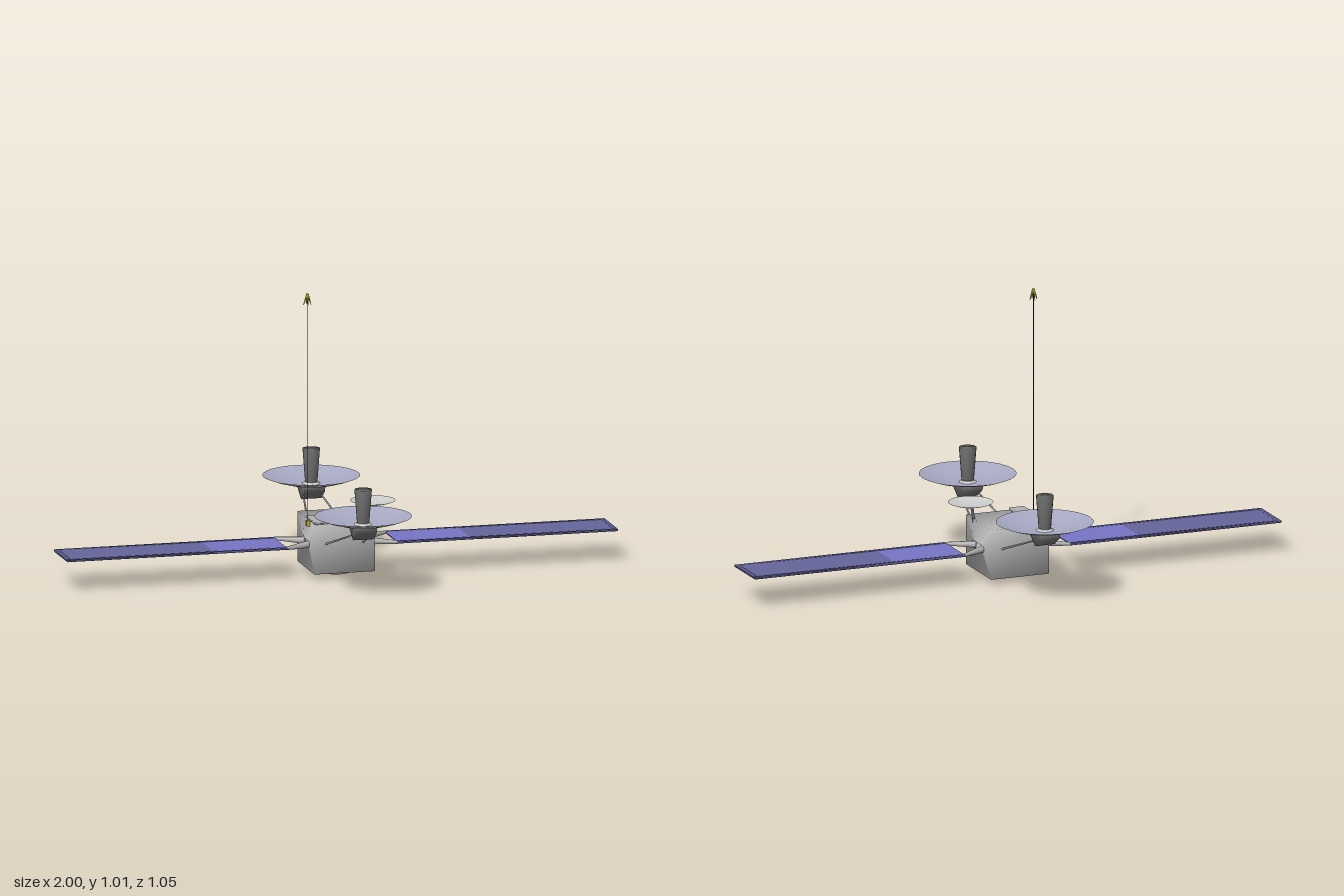
import * as THREE from 'three';
import { mergeVertices } from 'three/addons/utils/BufferGeometryUtils.js';

const mat = (color) => new THREE.MeshStandardMaterial({ color });
const grey = mat(0xcccccc);
const bodyGrey = mat(0xb0b0b0);
const darkGrey = mat(0x6a6a6a);
const lavender = mat(0xa6a8c2);
const cellBright = mat(0x7674c4);
const cellDark = mat(0x656499);
const navy = mat(0x575688);
const black = mat(0x2c2c38);
const olive = mat(0xb4b030);

const v2 = (pts) => pts.map(([a, b]) => new THREE.Vector2(a, b));

function add(parent, name, geometry, material, x = 0, y = 0, z = 0) {
  const mesh = new THREE.Mesh(geometry, material);
  mesh.name = name;
  mesh.position.set(x, y, z);
  parent.add(mesh);
  return mesh;
}

// shares corners so shading runs smoothly over the edges
function smooth(geometry) {
  geometry.deleteAttribute('uv');
  geometry.deleteAttribute('normal');
  const g = mergeVertices(geometry, 1e-5);
  g.computeVertexNormals();
  return g;
}

// tapered rod between two points
function rod(parent, name, a, b, ra, rb, material, sides = 6) {
  const from = new THREE.Vector3(...a), to = new THREE.Vector3(...b);
  const dir = to.clone().sub(from);
  const mesh = add(parent, name, new THREE.CylinderGeometry(rb, ra, dir.length(), sides), material);
  mesh.position.copy(from).add(to).multiplyScalar(0.5);
  mesh.quaternion.setFromUnitVectors(new THREE.Vector3(0, 1, 0), dir.normalize());
}

// smooth prism along x from a (z, y) outline, with an optional hole
function prismX(outline, width, hole) {
  const flip = (pts) => v2(pts.map(([z, y]) => [-z, y]));
  const shape = new THREE.Shape(flip(outline));
  if (hole) shape.holes.push(new THREE.Path(flip(hole)));
  const g = new THREE.ExtrudeGeometry(shape, { depth: width, bevelEnabled: false });
  return smooth(g.translate(0, 0, -width / 2).rotateY(Math.PI / 2));
}

// shallow bowl: grey back, coloured face
function bowl(parent, radius, depth, face) {
  const at = (k, lift) => [radius * k, depth * k * k * (1 - lift / depth) + lift];
  const ks = [0, 0.3, 0.55, 0.8, 1];
  add(parent, 'dishBack', new THREE.LatheGeometry(v2(ks.map((k) => at(k, 0))), 28), grey);
  add(parent, 'dishFace', new THREE.LatheGeometry(v2(ks.map((k) => at(k, 0.005)).reverse()), 28), face);
}

function mainDish(sign) {
  const g = new THREE.Group();
  g.name = sign > 0 ? 'frontDish' : 'backDish';
  const reflector = new THREE.Group();
  reflector.name = 'reflector';
  reflector.position.set(0, 0.239, sign * 0.353);
  g.add(reflector);
  bowl(reflector, 0.172, 0.037, lavender);
  add(reflector, 'hornCollar', new THREE.CylinderGeometry(0.025, 0.036, 0.012, 16), grey, 0, 0.008, 0);
  add(reflector, 'feedHorn', smooth(new THREE.CylinderGeometry(0.031, 0.021, 0.13, 16)), darkGrey, 0, 0.068, 0);
  // wedge-shaped mount under the bowl
  add(reflector, 'dishMount', prismX([[-0.055, 0.006], [-0.046, -0.016], [0, -0.048],
    [0.046, -0.016], [0.055, 0.006]], 0.074), darkGrey);
  for (const s of [-1, 1]) {
    rod(g, 'dishStrut', [s * 0.07, 0.122, sign * 0.1 - 0.012], [s * 0.033, 0.206, sign * 0.335], 0.004, 0.003, bodyGrey);
  }
  return g;
}

function solarWing(sign) {
  const g = new THREE.Group();
  g.name = sign > 0 ? 'leftSolarWing' : 'rightSolarWing';
  const zc = -0.016, w = 0.188, y = 0.112;
  add(g, 'innerPanel', new THREE.BoxGeometry(0.265, 0.004, w), cellBright, sign * 0.3325, y, zc);
  add(g, 'outerPanel', new THREE.BoxGeometry(0.535, 0.004, w), cellDark, sign * 0.7325, y, zc);
  // thin raised frame
  add(g, 'frameEnd', smooth(new THREE.BoxGeometry(0.016, 0.007, w)), navy, sign * 0.992, y, zc);
  for (const s of [-1, 1]) {
    add(g, 'frameRail', smooth(new THREE.BoxGeometry(0.8, 0.007, 0.012)), navy, sign * 0.6, y, zc + s * (w / 2 - 0.006));
    // arms spreading from the body to the panel corners
    rod(g, 'wingArm', [sign * 0.105, y, -0.012 + s * 0.033], [sign * 0.203, y, zc + s * 0.086], 0.013, 0.006, bodyGrey, 8);
  }
  return g;
}

export function createModel() {
  const root = new THREE.Group();
  root.name = 'satellite';

  // body with a small slot running through it between the wing arms
  add(root, 'body', prismX(
    [[-0.128, 0.02], [0.104, 0.02], [0.104, 0.2], [-0.128, 0.2]], 0.22,
    [[-0.052, 0.112], [-0.038, 0.101], [0.014, 0.101], [0.028, 0.112], [0.014, 0.123], [-0.038, 0.123]]), bodyGrey);
  add(root, 'topPlate', smooth(new THREE.BoxGeometry(0.055, 0.01, 0.114)), bodyGrey, -0.082, 0.203, 0.047);
  add(root, 'bottomNozzle', smooth(new THREE.CylinderGeometry(0.075, 0.047, 0.021, 16)), bodyGrey, 0, 0.0105, -0.012);

  for (const s of [-1, 1]) root.add(mainDish(s), solarWing(s));

  // small dish on a post
  const small = new THREE.Group();
  small.name = 'smallDish';
  small.position.set(0.118, 0.245, 0.042);
  root.add(small);
  bowl(small, 0.08, 0.017, grey);
  rod(small, 'smallDishPost', [-0.014, -0.065, 0], [-0.004, 0.004, 0], 0.005, 0.006, darkGrey, 8);

  // tall flat mast with a barbed tip
  const mx = -0.118, mz = 0.035;
  add(root, 'mast', new THREE.BoxGeometry(0.002, 0.82, 0.005), black, mx, 0.59, mz);
  add(root, 'mastFoot', new THREE.BoxGeometry(0.016, 0.02, 0.014), olive, mx + 0.004, 0.19, mz);
  for (let i = 0; i < 4; i++) {
    const a = i * Math.PI / 2;
    rod(root, 'mastBarb', [mx + Math.sin(a) * 0.014, 0.975, mz + Math.cos(a) * 0.014],
      [mx, 1.013, mz], 0.001, 0.005, olive, 5);
  }
  return root;
}
